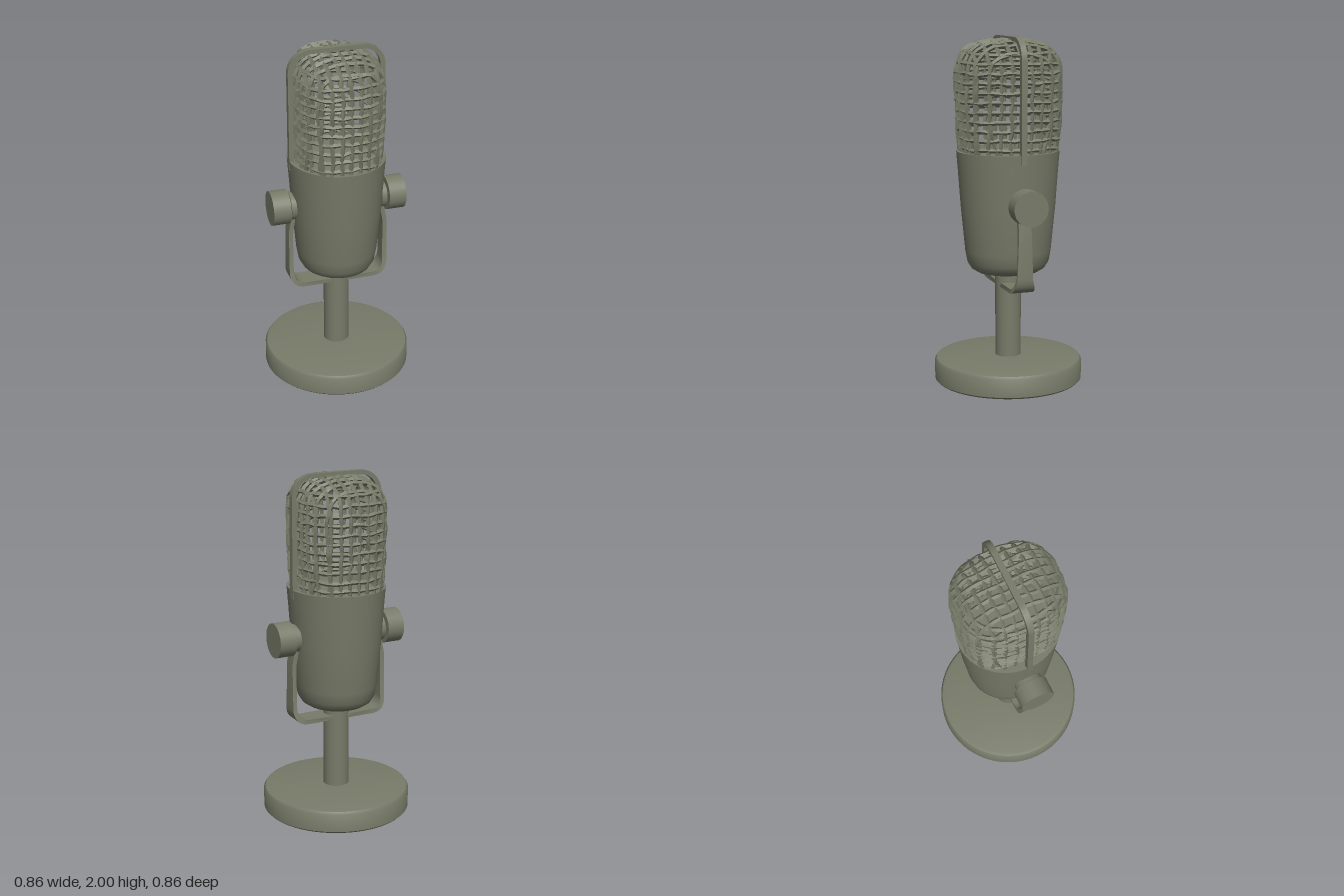
import * as THREE from 'three';
import { mergeGeometries, toCreasedNormals } from 'three/addons/utils/BufferGeometryUtils.js';

const metal = new THREE.MeshStandardMaterial({ color: 0x787b69 });
metal.name = 'olive grey metal';

function part(name, geometry, parent) {
  const mesh = new THREE.Mesh(geometry, metal);
  mesh.name = name;
  parent.add(mesh);
  return mesh;
}

const lathe = (profile, sides = 48) => toCreasedNormals(
  new THREE.LatheGeometry(profile.map(([r, y]) => new THREE.Vector2(r, y)), sides), 0.6);

// Cage surface: a rounded-square column with a soft top; negative inside
const HX = 0.24, HZ = 0.288, SHOULDER = 1.75, DOME = 0.225, FOOT = 1.33;
function cageField(x, y, z) {
  const r = (Math.abs(x / HX) ** 2.8 + Math.abs(z / HZ) ** 2.8) ** (1 / 2.8);
  if (y > SHOULDER) return r ** 3 + ((y - SHOULDER) / DOME) ** 3 - 1;
  return r - (1 - 0.07 * ((SHOULDER - y) / 0.42) ** 2);
}

// Point where a ray from inside the cage meets its surface
function cast(origin, dir) {
  let lo = 0, hi = 0.6;
  for (let i = 0; i < 24; i++) {
    const t = (lo + hi) / 2;
    const p = origin.clone().addScaledVector(dir, t);
    if (cageField(p.x, p.y, p.z) < 0) lo = t; else hi = t;
  }
  return origin.clone().addScaledVector(dir, lo);
}

let seed = 7;
const jitter = (a) => {
  seed = (seed * 16807) % 2147483647;
  return (seed / 2147483647 - 0.5) * 2 * a;
};

// Rough four-sided wire through a list of points
function wire(points, closed) {
  points.forEach((p) => p.add(new THREE.Vector3(jitter(0.005), jitter(0.005), jitter(0.005))));
  const curve = new THREE.CatmullRomCurve3(points, closed);
  return new THREE.TubeGeometry(curve, points.length * 2, 0.0125, 4, closed);
}

// Wire that climbs one wall, crosses the top and descends the other wall
function archWire(offset, alongZ) {
  const at = (y) => (alongZ ? new THREE.Vector3(offset, y, 0) : new THREE.Vector3(0, y, offset));
  const dir = (c, s) => (alongZ ? new THREE.Vector3(0, s, c) : new THREE.Vector3(c, s, 0));
  const pts = [];
  for (let i = 0; i < 8; i++) pts.push(cast(at(FOOT + (SHOULDER - FOOT) * i / 8), dir(1, 0)));
  for (let i = 0; i <= 16; i++) {
    const a = Math.PI * i / 16;
    pts.push(cast(at(SHOULDER), dir(Math.cos(a), Math.sin(a))));
  }
  for (let i = 7; i >= 0; i--) pts.push(cast(at(FOOT + (SHOULDER - FOOT) * i / 8), dir(-1, 0)));
  return wire(pts, false);
}

function ringWire(y) {
  const pts = [];
  for (let i = 0; i < 36; i++) {
    const a = Math.PI * 2 * i / 36;
    pts.push(cast(new THREE.Vector3(0, y, 0), new THREE.Vector3(Math.cos(a), 0, Math.sin(a))));
  }
  return wire(pts, true);
}

// Flat outline in x and y, extruded evenly about z = 0
function plate(shape, depth) {
  const g = new THREE.ExtrudeGeometry(shape, { depth, bevelEnabled: false, curveSegments: 12 });
  return toCreasedNormals(g.translate(0, 0, -depth / 2), 0.6);
}

// Arch outline for the strap over the cage
function archPath(path, w, bottom, top, r) {
  path.moveTo(-w, bottom);
  path.lineTo(w, bottom);
  path.lineTo(w, top - r);
  path.absarc(w - r, top - r, r, 0, Math.PI / 2, false);
  path.lineTo(-w + r, top);
  path.absarc(-w + r, top - r, r, Math.PI / 2, Math.PI, false);
  path.closePath();
  return path;
}

export function createModel() {
  const model = new THREE.Group();
  model.name = 'microphone';

  // Stand
  part('base', lathe([[0, 0], [0.42, 0], [0.43, 0.01], [0.43, 0.115], [0.42, 0.13],
    [0.40, 0.135], [0.1, 0.143], [0, 0.143]], 64), model);
  part('post', new THREE.CylinderGeometry(0.075, 0.075, 0.54, 32).translate(0, 0.4, 0), model);

  // Cup-shaped body, slightly narrower from side to side
  const body = part('body', lathe([[0, 0.635], [0.13, 0.638], [0.18, 0.647], [0.215, 0.668],
    [0.238, 0.705], [0.25, 0.77], [0.275, 1.03], [0.29, 1.24], [0.299, 1.352],
    [0.28, 1.352], [0.275, 1.315], [0, 1.315]]), model);
  body.scale.x = 0.935;

  // Wire cage
  const wires = [];
  for (let i = -4; i <= 4; i++) wires.push(archWire(i * 0.053, true));
  for (let i = -4; i <= 4; i++) wires.push(archWire(i * 0.06, false));
  for (let i = 0; i < 11; i++) wires.push(ringWire(1.375 + i * 0.053));
  const cage = mergeGeometries(wires).toNonIndexed();
  cage.computeVertexNormals();
  part('cage', cage, model);

  // Strap over the cage
  const strap = archPath(new THREE.Shape(), 0.28, 1.3, 2.0, 0.13);
  strap.holes.push(archPath(new THREE.Path(), 0.252, 1.31, 1.975, 0.105));
  part('cageStrap', plate(strap, 0.034), model);

  // Yoke arms and knobs, one pair on each side
  for (const side of [1, -1]) {
    const mount = new THREE.Group();
    mount.name = side > 0 ? 'leftMount' : 'rightMount';
    if (side < 0) mount.rotation.y = Math.PI;
    model.add(mount);

    const arm = new THREE.Shape();
    arm.moveTo(0.045, 0.56);
    arm.lineTo(0.21, 0.56);
    arm.quadraticCurveTo(0.298, 0.565, 0.298, 0.66);
    arm.lineTo(0.296, 0.92);
    arm.lineTo(0.28, 1.0);
    arm.lineTo(0.28, 1.12);
    arm.lineTo(0.257, 1.12);
    arm.lineTo(0.257, 0.99);
    arm.lineTo(0.272, 0.91);
    arm.lineTo(0.272, 0.66);
    arm.quadraticCurveTo(0.272, 0.588, 0.21, 0.585);
    arm.lineTo(0.045, 0.585);
    arm.closePath();
    const armGeo = plate(arm, 0.075);
    // Widen the arm toward its foot
    const pos = armGeo.attributes.position;
    for (let i = 0; i < pos.count; i++) {
      const k = THREE.MathUtils.clamp((0.68 - pos.getY(i)) / 0.1, 0, 1);
      pos.setZ(i, pos.getZ(i) * (1 + 0.7 * k));
    }
    part('yokeArm', toCreasedNormals(armGeo, 0.6), mount);

    const disc = (name, r, x0, x1) => part(name, new THREE.CylinderGeometry(r, r, x1 - x0, 32)
      .rotateZ(-Math.PI / 2).translate((x0 + x1) / 2, 1.07, 0), mount);
    disc('knobWasher', 0.08, 0.255, 0.285);
    disc('knobNeck', 0.06, 0.28, 0.3);
    disc('knob', 0.1, 0.293, 0.395);
  }

  return model;
}
